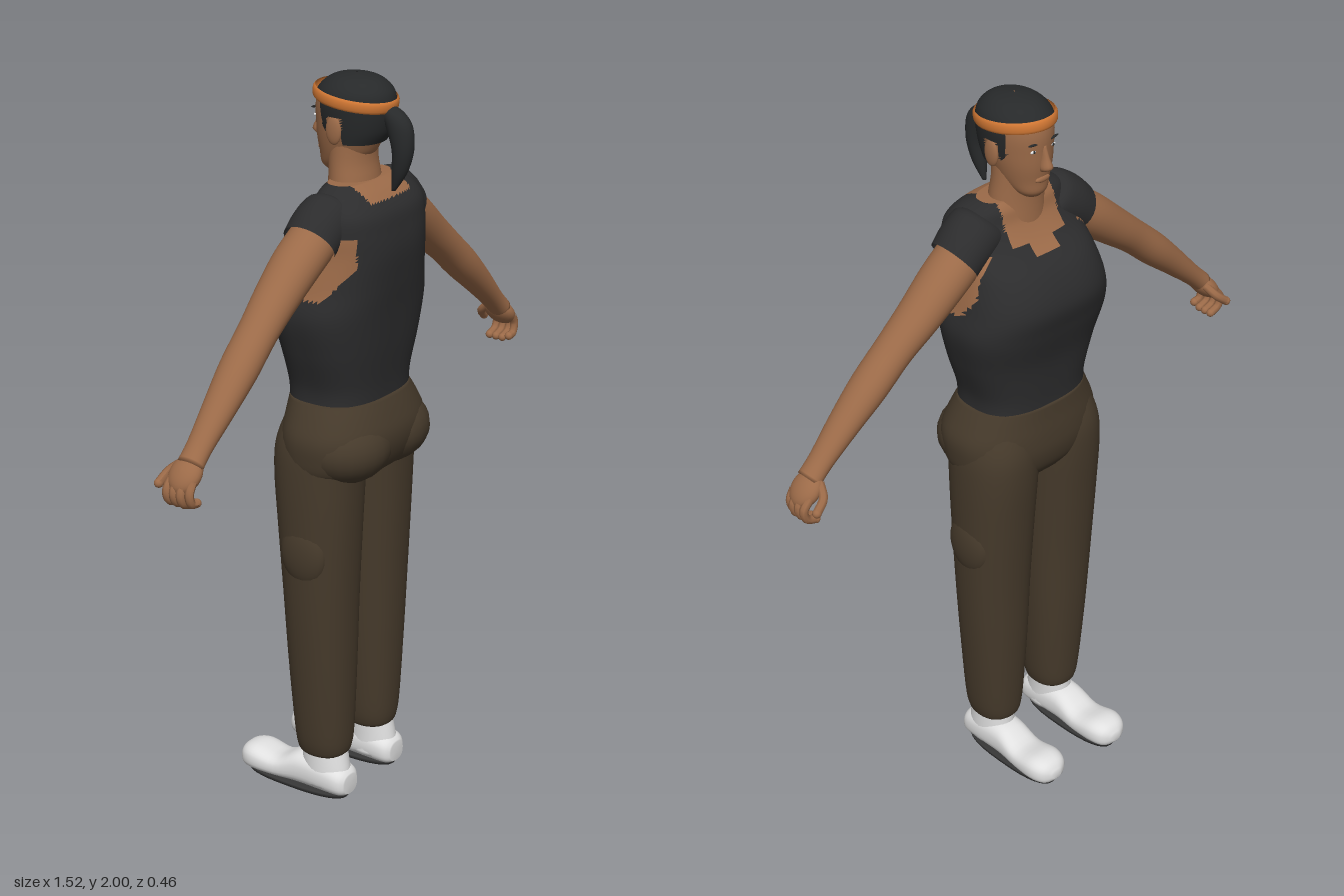
import * as THREE from 'three';

const mat = (name, color, side = THREE.FrontSide) => {
  const m = new THREE.MeshStandardMaterial({ color, side });
  m.name = name;
  return m;
};

// Smooth value between rows of numbers
function sampleRows(rows, t) {
  const last = rows.length - 1;
  const i = Math.min(Math.floor(t * last), last - 1);
  const f = t * last - i;
  const at = (k) => rows[Math.max(0, Math.min(last, k))];
  return rows[i].map((_, c) => {
    const a = at(i - 1)[c], b = at(i)[c], d = at(i + 1)[c], e = at(i + 2)[c];
    return b + 0.5 * f * (d - a + f * (2 * a - 5 * b + 4 * d - e + f * (3 * (b - d) + e - a)));
  });
}

// Skin over oval rings [x, y, z, halfWidth, halfDepth], listed upward; tilt turns each ring in the xy plane.
// pick(x, y, z) gives a material index, or -1 to leave the face out.
function loft(rows, { n = 32, per = 4, tilt = 0, power = 1, caps = true, pick = () => 0 } = {}) {
  const pos = [], faces = [[], []];
  const steps = (rows.length - 1) * per;
  const bend = (v) => Math.sign(v) * Math.abs(v) ** power;
  for (let j = 0; j <= steps; j++) {
    const [x, y, z, a, b] = sampleRows(rows, j / steps);
    for (let i = 0; i < n; i++) {
      const w = (i / n) * Math.PI * 2;
      const u = Math.max(a, 0.001) * bend(Math.cos(w));
      pos.push(x + u * Math.cos(tilt), y + u * Math.sin(tilt), z + Math.max(b, 0.001) * bend(Math.sin(w)));
    }
  }
  const add = (...ids) => {
    const mid = [0, 1, 2].map((c) => ids.reduce((s, k) => s + pos[k * 3 + c], 0) / ids.length);
    const g = pick(...mid);
    if (g >= 0) faces[g].push(...ids);
  };
  for (let j = 0; j < steps; j++) {
    for (let i = 0; i < n; i++) {
      const a = j * n + i, b = j * n + (i + 1) % n;
      add(a, a + n, b);
      add(b, a + n, b + n);
    }
  }
  if (caps) {
    [0, steps].forEach((j) => {
      const r = sampleRows(rows, j / steps);
      const c = pos.length / 3;
      pos.push(r[0], r[1], r[2]);
      for (let i = 0; i < n; i++) {
        const a = j * n + i, b = j * n + (i + 1) % n;
        if (j === 0) add(c, a, b); else add(c, b, a);
      }
    });
  }
  const g = new THREE.BufferGeometry();
  g.setAttribute('position', new THREE.Float32BufferAttribute(pos, 3));
  g.setIndex([...faces[0], ...faces[1]]);
  g.addGroup(0, faces[0].length, 0);
  if (faces[1].length) g.addGroup(faces[0].length, faces[1].length, 1);
  g.computeVertexNormals();
  return g;
}

const ball = (x, y, z, a, b, c, roll = 0) =>
  new THREE.SphereGeometry(1, 24, 16).scale(a, b, c).rotateZ(roll).translate(x, y, z);

const tube = (pts, r) => new THREE.TubeGeometry(
  new THREE.CatmullRomCurve3(pts.map((p) => new THREE.Vector3(...p))), 12, r, 8);

// Copy on the other side of x = 0, with corner order put right
function mirrored(g) {
  const m = g.clone().scale(-1, 1, 1);
  const id = m.index.array;
  for (let i = 0; i < id.length; i += 3) [id[i + 1], id[i + 2]] = [id[i + 2], id[i + 1]];
  m.computeVertexNormals();
  return m;
}

export function createModel() {
  const root = new THREE.Group();
  root.name = 'standingFigure';
  const skin = mat('skin', 0x9b6a48);
  const shirt = mat('shirt', 0x2c2c2d, THREE.DoubleSide);
  const trousers = mat('trousers', 0x463a2b);
  const hair = mat('hair', 0x27292a, THREE.DoubleSide);
  const band = mat('headband', 0xcf7633, THREE.DoubleSide);
  const white = mat('shoeWhite', 0xe0e0e0);
  const sole = mat('sole', 0x363636);

  const part = (name, g, m) => {
    const mesh = new THREE.Mesh(g, m);
    mesh.name = name;
    root.add(mesh);
  };
  // The figure looks toward -z; left is +x
  const pair = (name, g, m) => {
    part(name + 'Left', g, m);
    part(name + 'Right', mirrored(g), m);
  };

  // Torso: sleeveless top with scooped neck and open armholes
  const bare = (x, y, z) => {
    const w = Math.abs(x);
    if (z < 0.06 && w < 0.09 && y > (w < 0.04 ? 1.6 : 1.625)) return 1;
    if (z >= 0.06 && w < 0.09 && y > 1.695) return 1;
    if (w > 0.13 && z > -0.015 && z < 0.168 && y < 1.62 && y > 1.455 + 1.3 * Math.max(0, z - 0.1, 0.03 - z)) return 1;
    return 0;
  };
  part('torso', loft([
    [0, 1.14, 0.04, 0.174, 0.125], [0, 1.2, 0.04, 0.176, 0.128], [0, 1.3, 0.04, 0.206, 0.14],
    [0, 1.4, 0.032, 0.228, 0.158], [0, 1.48, 0.03, 0.213, 0.17], [0, 1.56, 0.05, 0.196, 0.157],
    [0, 1.62, 0.08, 0.188, 0.122], [0, 1.67, 0.092, 0.178, 0.098], [0, 1.71, 0.08, 0.152, 0.074],
    [0, 1.732, 0.068, 0.11, 0.048],
  ], { n: 96, per: 8, power: 0.76, pick: bare }), [shirt, skin]);
  pair('sleeve', loft([
    [0.207, 1.603, 0.06, 0.066, 0.073], [0.165, 1.635, 0.063, 0.074, 0.076], [0.115, 1.66, 0.068, 0.076, 0.074],
    [0.08, 1.655, 0.07, 0.06, 0.06],
  ], { tilt: 0.95, caps: false }), shirt);

  // Arms and half-closed hands
  pair('arm', loft([
    [0.7, 1.175, 0.06, 0.028, 0.036], [0.66, 1.213, 0.06, 0.029, 0.035], [0.58, 1.288, 0.06, 0.038, 0.044],
    [0.5, 1.36, 0.058, 0.046, 0.052], [0.42, 1.43, 0.056, 0.047, 0.053], [0.34, 1.494, 0.053, 0.053, 0.059],
    [0.25, 1.565, 0.055, 0.06, 0.066], [0.17, 1.62, 0.06, 0.062, 0.066],
  ], { tilt: 0.86 }), skin);
  pair('palm', ball(0.713, 1.156, 0.056, 0.052, 0.027, 0.045, -0.8), skin);
  [0.088, 0.067, 0.046, 0.025].forEach((z, i) => {
    const d = i === 0 ? 0.008 : 0;
    pair('finger' + (i + 1), tube([
      [0.726, 1.148, z], [0.748 - d, 1.12, z], [0.74 - d, 1.092, z], [0.712, 1.08 + d, z],
    ], 0.0115), skin);
    pair('fingertip' + (i + 1), ball(0.712, 1.08 + d, z, 0.0115, 0.0115, 0.0115), skin);
  });
  pair('thumb', tube([[0.69, 1.175, 0.03], [0.705, 1.15, 0], [0.735, 1.125, -0.01]], 0.012), skin);
  pair('thumbTip', ball(0.735, 1.125, -0.01, 0.012, 0.012, 0.012), skin);

  // Neck and head
  part('neck', loft([
    [0, 1.64, 0.055, 0.088, 0.066], [0, 1.72, 0.055, 0.08, 0.062], [0, 1.78, 0.05, 0.073, 0.058], [0, 1.84, 0.05, 0.07, 0.06],
  ]), skin);
  part('head', loft([
    [0, 1.743, 0.0, 0.026, 0.026], [0, 1.76, 0.006, 0.045, 0.045], [0, 1.79, 0.03, 0.062, 0.072],
    [0, 1.83, 0.04, 0.074, 0.088], [0, 1.87, 0.05, 0.082, 0.1], [0, 1.92, 0.055, 0.086, 0.105],
    [0, 1.96, 0.057, 0.078, 0.092], [0, 1.985, 0.06, 0.045, 0.055],
  ]), skin);
  part('nose', loft([
    [0, 1.823, -0.046, 0.012, 0.01], [0, 1.835, -0.053, 0.016, 0.021], [0, 1.86, -0.048, 0.01, 0.016],
    [0, 1.892, -0.043, 0.007, 0.008],
  ], { n: 12 }), skin);
  part('lips', ball(0, 1.797, -0.041, 0.024, 0.009, 0.007), skin);
  pair('ear', ball(0.087, 1.866, 0.05, 0.01, 0.037, 0.023), skin);
  pair('eye', ball(0.032, 1.882, -0.042, 0.01, 0.004, 0.004), white);
  pair('pupil', ball(0.032, 1.882, -0.0445, 0.004, 0.004, 0.003), hair);
  pair('eyebrow', ball(0.034, 1.902, -0.044, 0.017, 0.003, 0.004, 0.12), hair);

  // Hair cap open over the face, with headband and ponytail
  part('hairCap', loft([
    [0, 1.83, 0.065, 0.08, 0.072], [0, 1.86, 0.06, 0.086, 0.094], [0, 1.9, 0.057, 0.091, 0.107],
    [0, 1.935, 0.057, 0.092, 0.108], [0, 1.965, 0.059, 0.081, 0.095], [0, 1.99, 0.06, 0.05, 0.06], [0, 2.0, 0.06, 0.002, 0.002],
  ], {
    n: 64, per: 6, caps: false,
    pick: (x, y, z) => (y > 1.935 || z > 0.072 || (z > 0.008 && y > 1.9) || (z > 0.008 && z < 0.03 && y > 1.85) ? 0 : -1),
  }), hair);
  part('headband', loft([
    [0, -0.015, 0, 0.092, 0.111], [0, -0.008, 0, 0.096, 0.115], [0, 0.008, 0, 0.096, 0.115], [0, 0.015, 0, 0.091, 0.11],
  ], { n: 48, per: 2, caps: false }).rotateX(0.12).translate(0, 1.939, 0.057), band);
  part('ponytail', loft([
    [0, 1.71, 0.173, 0.005, 0.005], [0, 1.76, 0.19, 0.019, 0.021], [0, 1.82, 0.2, 0.027, 0.029],
    [0, 1.88, 0.188, 0.029, 0.037], [0, 1.915, 0.165, 0.024, 0.032], [0, 1.93, 0.15, 0.01, 0.012],
  ], { n: 20 }), hair);

  // Trousers: hips, seat, legs and side pockets
  part('hips', loft([
    [0, 0.935, 0.035, 0.17, 0.095], [0, 0.97, 0.045, 0.212, 0.13], [0, 1.02, 0.05, 0.223, 0.148],
    [0, 1.07, 0.052, 0.222, 0.15], [0, 1.12, 0.047, 0.2, 0.14], [0, 1.16, 0.04, 0.178, 0.13],
  ], { n: 48, power: 0.85 }), trousers);
  pair('seat', ball(0.088, 1.03, 0.085, 0.13, 0.1, 0.124), trousers);
  pair('leg', loft([
    [0.108, 0.125, 0.035, 0.058, 0.064], [0.108, 0.14, 0.035, 0.066, 0.073], [0.109, 0.2, 0.035, 0.076, 0.08],
    [0.112, 0.4, 0.032, 0.09, 0.09], [0.115, 0.6, 0.03, 0.1, 0.098], [0.115, 0.8, 0.027, 0.107, 0.11],
    [0.113, 0.95, 0.025, 0.11, 0.12], [0.11, 1.04, 0.03, 0.105, 0.122], [0.1, 1.12, 0.035, 0.085, 0.1],
  ], { power: 0.9 }), trousers);
  pair('pocket', ball(0.195, 0.742, 0.03, 0.034, 0.092, 0.07), trousers);

  // Shoes: ankle, foot laid along -z, dark sole
  pair('shoeAnkle', loft([
    [0.111, 0.03, 0.045, 0.053, 0.075], [0.111, 0.08, 0.042, 0.052, 0.072], [0.109, 0.145, 0.036, 0.052, 0.064],
  ]), white);
  pair('shoeFoot', loft([
    [0.112, -0.124, 0.042, 0.03, 0.028], [0.112, -0.105, 0.047, 0.048, 0.04], [0.112, -0.05, 0.055, 0.054, 0.048],
    [0.113, 0.03, 0.056, 0.052, 0.049], [0.114, 0.1, 0.04, 0.055, 0.033], [0.116, 0.17, 0.046, 0.059, 0.039],
    [0.116, 0.21, 0.043, 0.045, 0.033], [0.116, 0.228, 0.04, 0.015, 0.012],
  ], { power: 0.8 }).rotateX(-Math.PI / 2), white);
  pair('sole', loft([
    [0.114, 0, -0.048, 0.049, 0.16], [0.114, 0.012, -0.048, 0.052, 0.165],
  ], { power: 0.78, per: 1 }), sole);

  return root;
}
